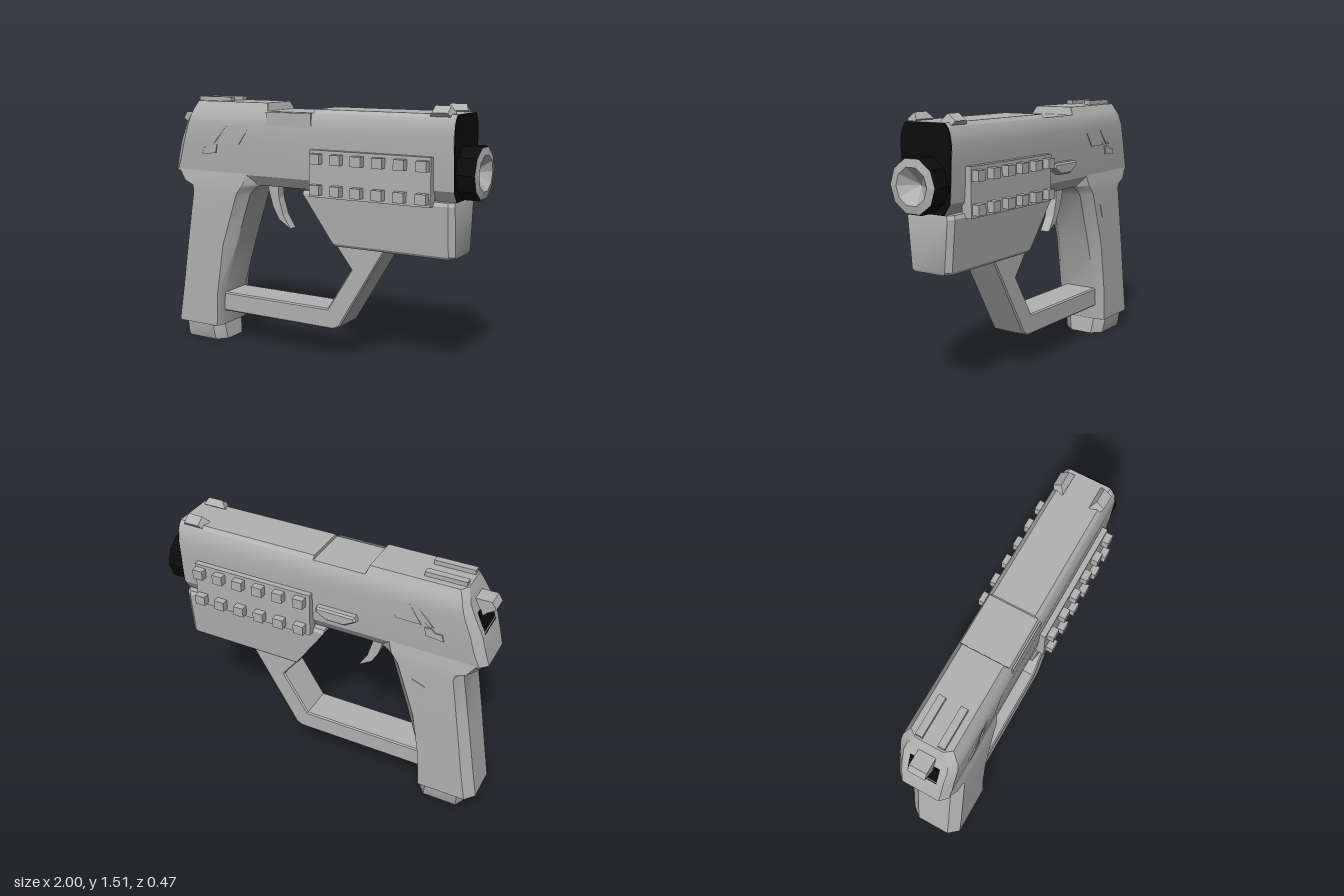
import * as THREE from 'three';
import { toCreasedNormals } from 'three/addons/utils/BufferGeometryUtils.js';

// Stacks corner-cut rectangles along y. Row: [y, rear x, front x, half width, rear cut, front cut]
function stack(rows, cutZ = 0.04) {
  const pos = [];
  const rings = rows.map(([y, x0, x1, w, c0 = 0.002, c1 = 0.002]) => {
    const d0 = c0 > 0.005 ? cutZ : 0.002, d1 = c1 > 0.005 ? cutZ : 0.002;
    return [
      [x0 + c0, y, w], [x1 - c1, y, w], [x1, y, w - d1], [x1, y, -w + d1],
      [x1 - c1, y, -w], [x0 + c0, y, -w], [x0, y, -w + d0], [x0, y, w - d0],
    ];
  });
  const tri = (a, b, c) => pos.push(...a, ...b, ...c);
  for (let r = 0; r < rings.length - 1; r++) {
    for (let i = 0; i < 8; i++) {
      const j = (i + 1) % 8, lo = rings[r], hi = rings[r + 1];
      tri(lo[i], lo[j], hi[j]);
      tri(lo[i], hi[j], hi[i]);
    }
  }
  const top = rings[rings.length - 1], bottom = rings[0];
  for (let i = 1; i < 7; i++) {
    tri(top[0], top[i], top[i + 1]);
    tri(bottom[0], bottom[i + 1], bottom[i]);
  }
  const g = new THREE.BufferGeometry();
  g.setAttribute('position', new THREE.Float32BufferAttribute(pos, 3));
  return toCreasedNormals(g, 0.5);
}

// Side outline (x, y) extruded across z, centred, with optional edge bevel
function slab(points, halfWidth, bevel = 0) {
  const shape = new THREE.Shape(points.map(([x, y]) => new THREE.Vector2(x, y)));
  const depth = 2 * (halfWidth - bevel);
  const g = new THREE.ExtrudeGeometry(shape, {
    depth, bevelEnabled: bevel > 0, bevelSize: bevel, bevelOffset: -bevel,
    bevelThickness: bevel, bevelSegments: 1,
  });
  return g.translate(0, 0, -depth / 2);
}

export function createModel() {
  const model = new THREE.Group();
  const grey = new THREE.MeshStandardMaterial({ color: 0xb2b2b2 });
  grey.name = 'grey';
  const black = new THREE.MeshStandardMaterial({ color: 0x0c0c0c });
  black.name = 'black';

  const add = (name, geometry, material = grey, x = 0, y = 0, z = 0) => {
    const mesh = new THREE.Mesh(geometry, material);
    mesh.name = name;
    mesh.position.set(x, y, z);
    model.add(mesh);
    return mesh;
  };

  // Main body with sloped rear
  const bodyRows = [
    [1.0, -0.92, 0.885, 0.11, 0.04], [1.06, -0.98, 0.885, 0.15, 0.04],
    [1.15, -0.955, 0.885, 0.157, 0.05], [1.24, -0.93, 0.885, 0.16, 0.05],
    [1.35, -0.88, 0.885, 0.166, 0.04], [1.41, -0.85, 0.885, 0.157, 0.03],
    [1.44, -0.84, 0.885, 0.143, 0.03],
  ];
  add('body', stack(bodyRows));
  add('rearTop', stack([[1.44, -0.84, -0.275, 0.143, 0.03], [1.485, -0.82, -0.29, 0.12, 0.03]]));
  add('frontTop', stack([[1.44, 0.03, 0.885, 0.143], [1.46, 0.03, 0.885, 0.125]]));
  add('ejectionPort', new THREE.BoxGeometry(0.3, 0.11, 0.01), grey, -0.125, 1.382, 0.16);

  // Dark front face
  const faceRows = [...bodyRows, [1.459, 0, 0, 0.125]].map(([y, , , w]) => [y, 0.882, 0.888, w]);
  add('frontFace', stack(faceRows), black);

  // Grip and its base
  add('grip', stack([
    [0.1, -1.0, -0.645, 0.162, 0.05, 0.015], [0.31, -0.963, -0.63, 0.164, 0.05, 0.02],
    [0.62, -0.91, -0.54, 0.165, 0.045, 0.06], [0.94, -0.853, -0.435, 0.165, 0.04, 0.06],
    [0.975, -0.86, -0.4, 0.163, 0.04, 0.07], [1.0, -0.92, -0.36, 0.161, 0.04, 0.09],
    [1.07, -0.97, -0.33, 0.15, 0.04, 0.1],
  ], 0.06));
  add('gripBase', stack([
    [0, -0.925, -0.64, 0.13, 0.03, 0.05], [0.02, -0.927, -0.643, 0.138, 0.03, 0.05],
    [0.1, -0.93, -0.655, 0.148, 0.03, 0.05],
  ], 0.06));

  // Lower housing with dark sloped back
  add('housing', stack([
    [0.69, 0.16, 0.878, 0.122, 0, 0.03], [0.705, 0.15, 0.885, 0.132, 0, 0.03],
    [0.98, -0.035, 0.885, 0.155, 0, 0.03], [1.0, -0.035, 0.88, 0.145, 0, 0.03],
  ], 0.025));
  add('housingBack', slab([[0.155, 0.692], [0.16, 0.692], [-0.033, 0.98], [-0.04, 0.98]], 0.125), black);

  // Hand guard
  add('guard', slab([
    [-0.66, 0.19], [0.14, 0.19], [0.18, 0.21], [0.47, 0.7],
    [0.15, 0.7], [0.255, 0.56], [0.1, 0.31], [-0.66, 0.31],
  ], 0.108, 0.008));

  // Trigger
  add('trigger', slab([
    [-0.36, 1.02], [-0.35, 0.96], [-0.32, 0.86], [-0.28, 0.79], [-0.2, 0.74],
    [-0.25, 0.82], [-0.28, 0.92], [-0.28, 1.02],
  ], 0.03));

  // Muzzle collar and hollow cap
  const turned = (points) => new THREE.LatheGeometry(points.map(([r, h]) => new THREE.Vector2(r, h)), 10)
    .rotateZ(-Math.PI / 2).toNonIndexed();
  const muzzle = (name, points, material) => {
    const g = turned(points);
    g.computeVertexNormals();
    add(name, g, material, 0, 1.15, 0);
  };
  muzzle('muzzleCollar', [[0.145, 0.88], [0.15, 0.9], [0.15, 0.98], [0.144, 0.992]], black);
  muzzle('muzzleCap', [[0.144, 0.992], [0.1, 1.0], [0.0001, 0.92]], grey);

  // Side rails with studs, and thin side panels
  for (const s of [1, -1]) {
    add('railPlate', new THREE.BoxGeometry(0.74, 0.265, 0.06), grey, 0.4, 1.107, s * 0.162);
    for (let i = 0; i < 6; i++) {
      for (const y of [1.193, 1.02]) {
        add('railStud', new THREE.BoxGeometry(0.062, 0.057, 0.045), grey, 0.085 + i * 0.129, y, s * 0.21);
      }
    }
    for (const points of [
      [[-0.61, 1.24], [-0.47, 1.24], [-0.39, 1.35], [-0.54, 1.35]],
      [[-0.68, 1.24], [-0.65, 1.24], [-0.55, 1.35], [-0.58, 1.35]],
      [[-0.74, 1.17], [-0.64, 1.18], [-0.63, 1.23], [-0.67, 1.23], [-0.69, 1.21], [-0.73, 1.21]],
    ]) {
      add('sidePanel', slab(points, 0.004), grey, 0, 0, s * 0.162);
    }
    // Top rear bars and tilted front sights
    add('topBar', new THREE.BoxGeometry(0.23, 0.03, 0.04), grey, -0.695, 1.495, s * 0.063);
    const sight = add('frontSight', slab([
      [0.72, -0.02], [0.86, -0.02], [0.84, 0.025], [0.75, 0.025],
    ], 0.03), grey, 0, 1.465, s * 0.115);
    sight.rotation.x = s * 0.65;
  }

  // Side lever and small grip mark on the far side
  add('lever', slab([
    [-0.25, 1.15], [-0.18, 1.11], [-0.07, 1.11], [0.0, 1.15], [-0.01, 1.18], [-0.24, 1.18],
  ], 0.025, 0.01), grey, 0, 0, -0.172);
  add('gripMark', slab([[-0.66, 0.84], [-0.58, 0.87], [-0.61, 0.78]], 0.004), grey, 0, 0, -0.164);

  // Rear recess and hammer
  add('rearRecess', slab([[-0.934, 1.23], [-0.928, 1.23], [-0.876, 1.35], [-0.884, 1.35]], 0.085), black);
  add('hammer', slab([
    [-0.82, 1.41], [-0.94, 1.41], [-0.965, 1.37], [-0.92, 1.34], [-0.88, 1.3], [-0.82, 1.3],
  ], 0.05));

  return model;
}
